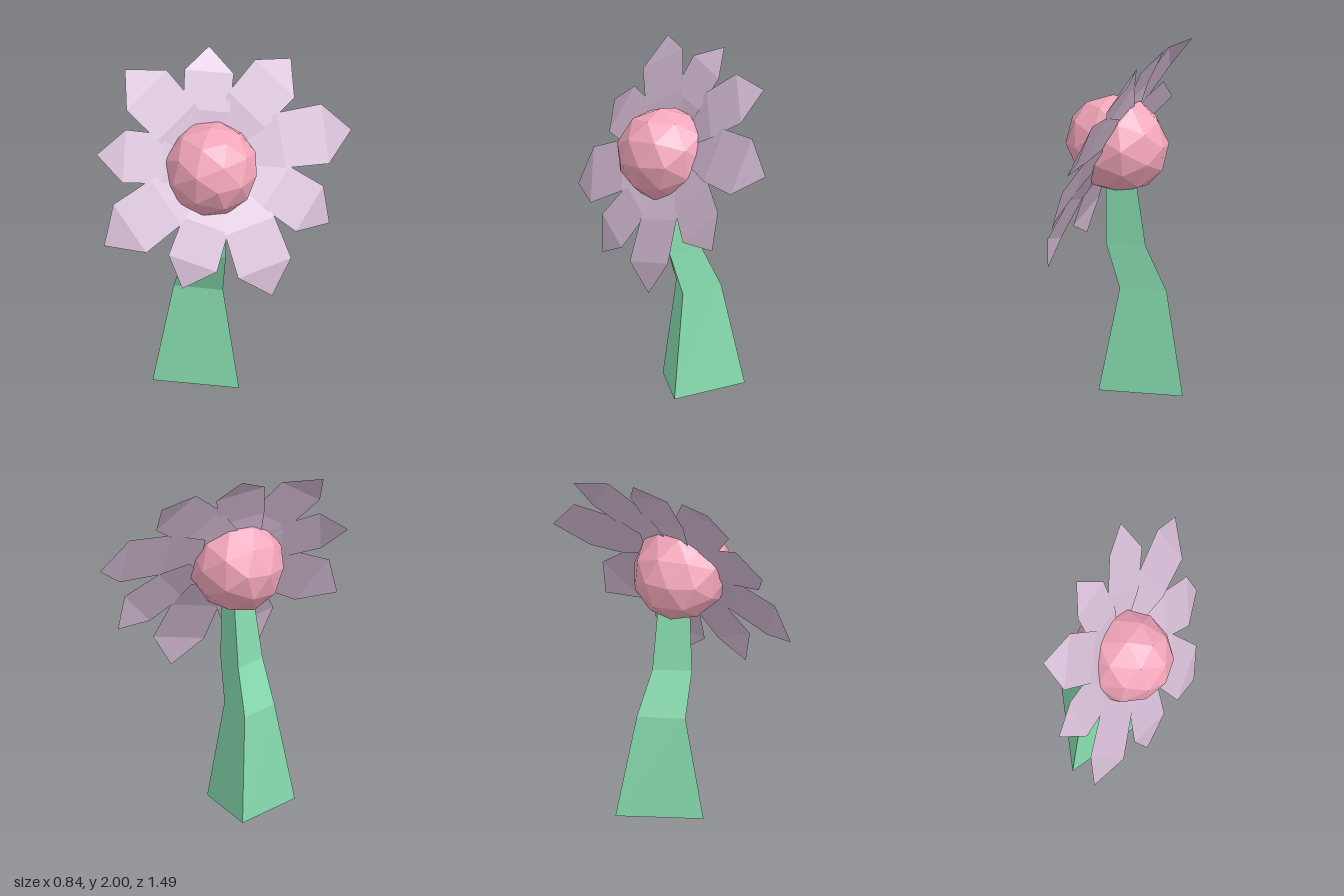
import * as THREE from 'three';

const material = (color) =>
  new THREE.MeshStandardMaterial({ color, flatShading: true, side: THREE.DoubleSide });

// Plane of the blossom: its centre and the direction it faces
const CENTRE = new THREE.Vector3(0.01, 1.386, 0.024);
const FACING = new THREE.Vector3(0.83, 0.451, 0.328).normalize();

// Point of the blossom plane lying at the given z and y
function onPlane(z, y) {
  const x = CENTRE.x - (FACING.y * (y - CENTRE.y) + FACING.z * (z - CENTRE.z)) / FACING.x;
  return new THREE.Vector3(x, y, z);
}

function meshFrom(points, index, mat, name) {
  const indexed = new THREE.BufferGeometry().setFromPoints(points);
  indexed.setIndex(index);
  const geometry = indexed.toNonIndexed();
  geometry.computeVertexNormals();
  const mesh = new THREE.Mesh(geometry, mat);
  mesh.name = name;
  return mesh;
}

// Three-sided bent stem, lofted through triangular sections
function makeStem() {
  const sections = [ // y, then x and z of the three corners
    [0, -0.35, -0.21, -0.26, 0.28, 0.12, -0.04],
    [0.585, -0.262, -0.11, -0.217, 0.163, 0, -0.02],
    [0.835, -0.145, -0.05, -0.11, 0.172, 0.075, 0.02],
    [1.22, -0.09, -0.03, -0.058, 0.145, 0.075, 0.03],
  ];
  const points = [];
  const index = [2, 1, 0];
  sections.forEach(([y, ...c], s) => {
    for (let i = 0; i < 3; i++) {
      points.push(new THREE.Vector3(c[2 * i], y, c[2 * i + 1]));
      if (s === 0) continue;
      const j = (i + 1) % 3, low = 3 * (s - 1), high = 3 * s;
      index.push(low + i, low + j, high + j, low + i, high + j, high + i);
    }
  });
  index.push(9, 10, 11);
  return meshFrom(points, index, material(0x86dbae), 'stem');
}

// Bent petal: pointed tip, wide shoulders, and a body running into the centre
function makePetal([tipZ, tipY, rootZ, rootY], mat) {
  const tip = onPlane(tipZ, tipY);
  const axis = tip.clone().sub(onPlane(rootZ, rootY)).normalize();
  const side = FACING.clone().cross(axis);
  const length = tip.distanceTo(CENTRE);
  const rows = [ // distance back from the tip, half width, lift
    [0.21, 0.21, 0.065],
    [0.53, 0.195, 0.07],
    [0.78, 0.14, 0.035],
  ];
  const points = [tip];
  for (const [back, half, lift] of rows) {
    for (const sign of [-1, 1]) {
      points.push(tip.clone()
        .addScaledVector(axis, -back * length)
        .addScaledVector(side, sign * half * length)
        .addScaledVector(FACING, lift * length));
    }
  }
  const index = [0, 2, 1, 1, 2, 4, 1, 4, 3, 3, 4, 6, 3, 6, 5];
  return meshFrom(points, index, mat, 'petal');
}

export function createModel() {
  const model = new THREE.Group();
  model.name = 'flower';
  model.add(makeStem());

  // Ring of petals: z and y of the tip, z and y of the point it grows from
  const petals = new THREE.Group();
  petals.name = 'petals';
  const petalMaterial = material(0xd0b8d0);
  [
    [0.35, 1.945, 0.04, 1.4],
    [-0.13, 2.0, 0.12, 1.4],
    [-0.54, 1.88, 0.05, 1.48],
    [-0.74, 1.48, 0.05, 1.48],
    [-0.47, 1.03, -0.08, 1.4],
    [-0.05, 0.71, -0.02, 1.4],
    [0.41, 0.81, -0.01, 1.4],
    [0.75, 1.08, 0.05, 1.4],
    [0.64, 1.54, 0.05, 1.42],
  ].forEach((p) => petals.add(makePetal(p, petalMaterial)));
  model.add(petals);

  // Faceted ball in the middle, slightly long in the facing direction
  const ball = new THREE.Mesh(new THREE.IcosahedronGeometry(1, 1), material(0xf4a7bb));
  ball.name = 'flowerCentre';
  ball.scale.set(0.272, 0.272, 0.302);
  ball.quaternion.setFromUnitVectors(new THREE.Vector3(0, 0, 1), FACING);
  ball.position.set(0.01, 1.4, 0.08);
  model.add(ball);

  return model;
}
